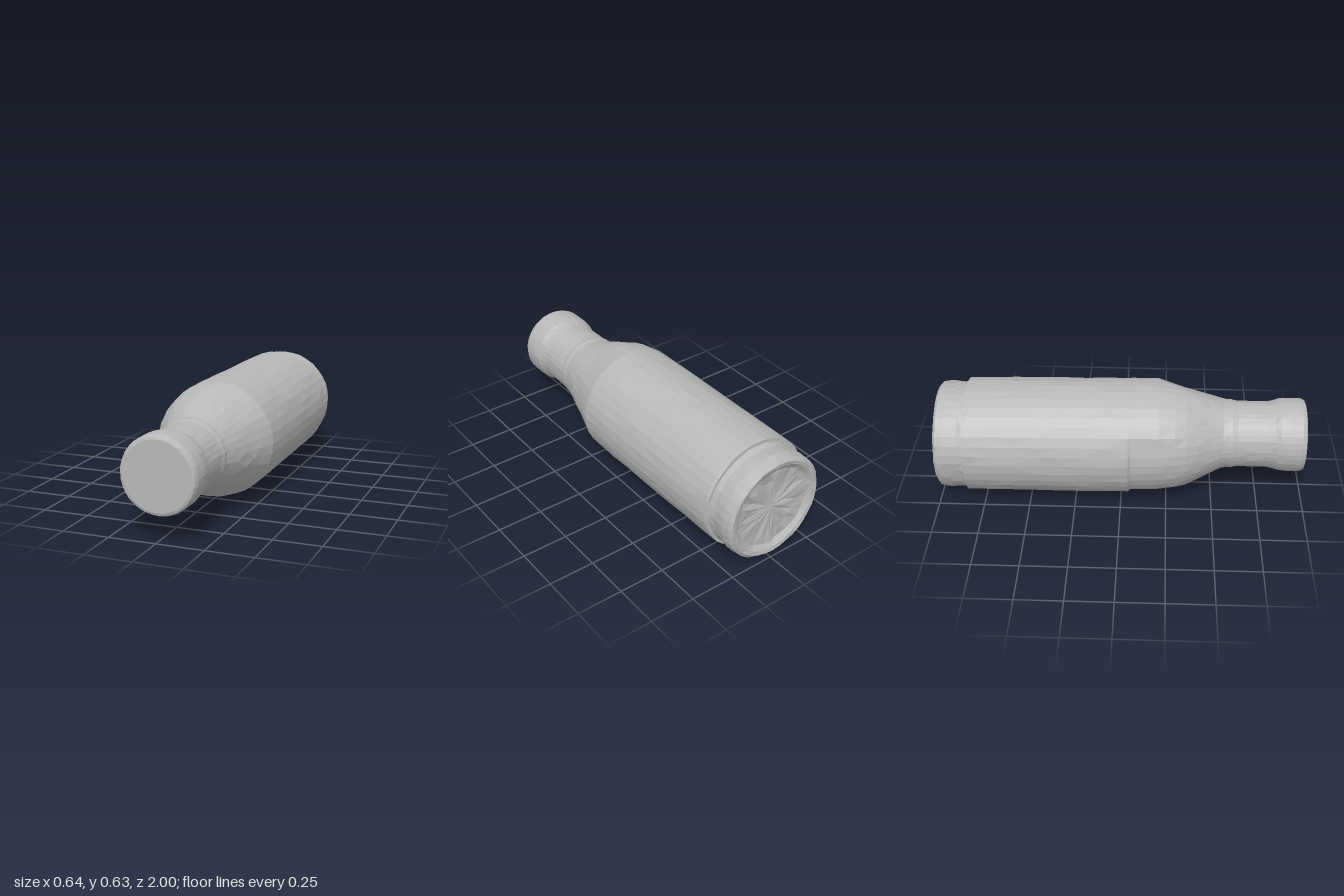
import * as THREE from 'three';

const SEG = 36;

// Each ring: [z, centre x, centre y, radius, radius on the cone-cut side, step depth on the lower right, bump]
const base = [
  [-0.968, -0.01, 0.312, 0, 0, 0, 0],
  [-0.968, -0.01, 0.312, 0.08, 0.08, 0, 0.008],
  [-0.97, -0.01, 0.312, 0.16, 0.16, 0, 0.008],
  [-0.975, -0.01, 0.312, 0.225, 0.225, 0, 0.007],
  [-0.994, -0.01, 0.312, 0.25, 0.25, 0, 0.003],
  [-0.998, -0.01, 0.312, 0.272, 0.272, 0, 0.002],
  [-0.982, -0.01, 0.312, 0.29, 0.29, 0, 0.003],
  [-0.94, -0.01, 0.312, 0.295, 0.295, 0, 0.003],
  [-0.87, -0.01, 0.312, 0.288, 0.288, 0, 0.004],
  [-0.84, -0.01, 0.314, 0.292, 0.292, 0, 0.003],
  [-0.838, -0.01, 0.315, 0.309, 0.309, 0, 0.002],
];

const body = [[-0.838, -0.01, 0.315, 0.309, 0.309, 0, 0.002]];
for (let i = 0; i <= 7; i++) {
  const k = i / 7;
  body.push([-0.82 + 0.86 * k, -0.009 + 0.009 * k, 0.315 + 0.005 * k, 0.311 + 0.003 * k, 0.311 + 0.003 * k, 0, 0.0025]);
}
body.push(
  [0.055, 0, 0.32, 0.314, 0.314, 0.011, 0.001],
  [0.2, 0.001, 0.322, 0.312, 0.313, 0.012, 0.001],
);

const shoulder = [
  [0.2, 0.001, 0.322, 0.312, 0.313, 0.012, 0.001],
  [0.29, 0.003, 0.325, 0.297, 0.281, 0.006, 0.003],
  [0.35, 0.004, 0.326, 0.28, 0.261, 0, 0.004],
  [0.41, 0.006, 0.327, 0.256, 0.241, 0, 0.004],
  [0.48, 0.009, 0.33, 0.222, 0.218, 0, 0.003],
  [0.55, 0.012, 0.334, 0.192, 0.194, 0, 0.002],
  [0.575, 0.012, 0.335, 0.188, 0.188, 0, 0.002],
];

const neck = [
  [0.575, 0.012, 0.335, 0.188, 0.188, 0, 0.002],
  [0.6, 0.012, 0.335, 0.189, 0.189, 0, 0.002],
  [0.63, 0.012, 0.335, 0.182, 0.182, 0, 0.002],
  [0.72, 0.012, 0.335, 0.181, 0.181, 0, 0.002],
  [0.8, 0.012, 0.335, 0.181, 0.181, 0, 0.002],
  [0.83, 0.012, 0.335, 0.187, 0.187, 0, 0.002],
];

const cap = [
  [0.83, 0.012, 0.335, 0.187, 0.187, 0, 0.002],
  [0.86, 0.012, 0.335, 0.198, 0.198, 0, 0.002],
  [0.91, 0.012, 0.335, 0.202, 0.202, 0, 0.002],
  [0.975, 0.012, 0.335, 0.201, 0.201, 0, 0.001],
  [0.995, 0.012, 0.335, 0.193, 0.193, 0, 0.001],
  [1, 0.012, 0.335, 0.18, 0.18, 0, 0],
  [1, 0.012, 0.335, 0, 0, 0, 0],
];

// Repeatable unevenness, the same wherever two parts share a ring
function noise(a, b) {
  const s = Math.sin(a * 127.1 + b * 311.7) * 43758.5453;
  return (s - Math.floor(s)) * 2 - 1;
}

function ringPoint([z, cx, cy, r, rCone, step, bump], j) {
  const t = (j / SEG) * Math.PI * 2;
  const deg = ((t * 180) / Math.PI + 180) % 360 - 180;
  // The left side is a straight cone, the rest a rounded shoulder
  const cone = 1 - THREE.MathUtils.smoothstep(Math.abs(deg - 5), 65, 85);
  const lowered = deg > 155 || deg < -80 ? step : 0;
  let rad = THREE.MathUtils.lerp(r, rCone, cone) - lowered;
  if (r > 0) rad += bump * noise(z * 10 + r, j) * 0.8;
  const dz = r > 0 ? bump * noise(z * 7 + r, j + 50) * 0.8 : 0;
  return [
    cx + rad * Math.cos(t),
    Math.max(0, cy + rad * Math.sin(t)),
    THREE.MathUtils.clamp(z + dz, -1, 1),
  ];
}

// Skin consecutive rings with separate faces for a faceted look
function loft(rings) {
  const pos = [];
  for (let i = 0; i < rings.length - 1; i++) {
    for (let j = 0; j < SEG; j++) {
      const k = (j + 1) % SEG;
      const a = ringPoint(rings[i], j), b = ringPoint(rings[i], k);
      const c = ringPoint(rings[i + 1], k), d = ringPoint(rings[i + 1], j);
      if (rings[i][3] === 0) pos.push(...a, ...c, ...d);
      else if (rings[i + 1][3] === 0) pos.push(...a, ...b, ...c);
      else if ((i + j) % 2) pos.push(...a, ...b, ...c, ...a, ...c, ...d);
      else pos.push(...a, ...b, ...d, ...b, ...c, ...d);
    }
  }
  const geo = new THREE.BufferGeometry();
  geo.setAttribute('position', new THREE.Float32BufferAttribute(pos, 3));
  geo.computeVertexNormals();
  return geo;
}

export function createModel() {
  const grey = new THREE.MeshStandardMaterial({ color: 0xb8b8b8 });
  grey.name = 'grey';
  const group = new THREE.Group();
  group.name = 'bottle';
  for (const [name, rings] of Object.entries({ base, body, shoulder, neck, cap })) {
    const mesh = new THREE.Mesh(loft(rings), grey);
    mesh.name = name;
    group.add(mesh);
  }
  return group;
}
